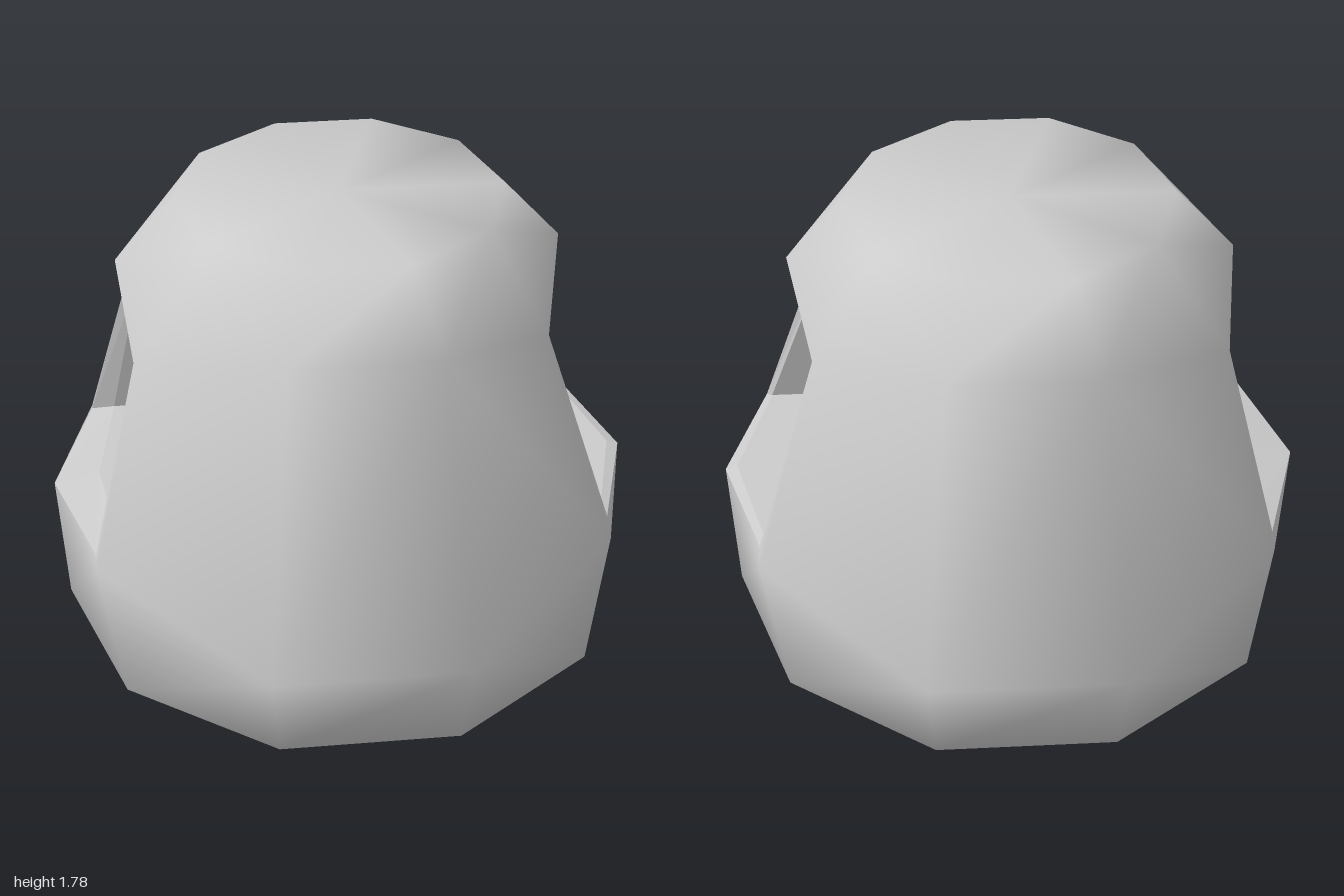
import * as THREE from 'three';

const grey = (side = THREE.FrontSide, flatShading = false) =>
  new THREE.MeshStandardMaterial({ color: 0xcccccc, side, flatShading });

function indexed(points, faces) {
  const g = new THREE.BufferGeometry();
  g.setAttribute('position', new THREE.Float32BufferAttribute(points.flat(), 3));
  g.setIndex(faces.flat());
  return g;
}

// per side: outer edge and inner rim of the window, as [x, y, z] of sill middle, sill corner, shoulder, apex
const windows = [
  { s: 1,
    edge: [[0.98, 0.735, 0], [0.85, 0.74, 0.43], [0.645, 1.375, 0.29], [0.72, 1.585, 0]],
    rim: [[0.94, 0.748, 0], [0.83, 0.748, 0.41], [0.63, 1.335, 0.28], [0.69, 1.54, 0]] },
  { s: -1,
    edge: [[0.985, 0.715, 0], [0.85, 0.725, 0.44], [0.69, 1.36, 0.29], [0.73, 1.575, 0]],
    rim: [[0.83, 0.748, 0], [0.77, 0.748, 0.41], [0.66, 1.335, 0.28], [0.69, 1.54, 0]] },
];

// quarter of a regular ten-sided ring: three corners from the x axis towards z
const regular = (r, y) => [0, 1, 2].map((k) => {
  const a = (k * Math.PI) / 5;
  return [r * Math.cos(a), y, r * Math.sin(a)];
});

// five rings from the floor up; the two in the middle follow the window edges
const quarters = ([mid, , shoulder, apex]) => [
  regular(0.618, 0),
  regular(0.96, 0.25),
  [mid, [0.85, 0.7, 0.5], [0.32, 0.59, 1]],
  [apex, shoulder, [0.24, 1.59, 0.75]],
  regular(0.535, 1.785),
];

// full ring of ten corners, counted from +x towards +z
function fullRing(r, l) {
  const at = ([x, y, z], sx, sz) => [x * sx, y, z * sz];
  return [at(r[0], 1, 1), at(r[1], 1, 1), at(r[2], 1, 1), at(l[2], -1, 1), at(l[1], -1, 1),
    at(l[0], -1, 1), at(l[1], -1, -1), at(l[2], -1, -1), at(r[2], 1, -1), at(r[1], 1, -1)];
}

// smooth outer wall with both window openings left free
function shellGeometry() {
  const n = 10;
  const right = quarters(windows[0].edge), left = quarters(windows[1].edge);
  const pts = right.flatMap((r, k) => fullRing(r, left[k]));
  const faces = [];
  const id = (r, i) => r * n + ((i + n) % n);
  const v = (i) => new THREE.Vector3(...pts[i]);

  for (let r = 0; r < 4; r++) {
    for (let i = 0; i < n; i++) {
      if (r === 2 && [9, 0, 4, 5].includes(i)) continue;
      const a = id(r, i), b = id(r, i + 1), c = id(r + 1, i + 1), d = id(r + 1, i);
      // fold each four-sided face outwards
      const normal = v(d).sub(v(a)).cross(v(b).sub(v(a)));
      if (normal.dot(v(c).sub(v(a))) <= 0) faces.push([a, d, b], [b, d, c]);
      else faces.push([a, d, c], [a, c, b]);
    }
  }
  // bottom and top
  const bottom = pts.push([0, 0, 0]) - 1;
  const top = pts.push([0, 1.785, 0]) - 1;
  for (let i = 0; i < n; i++) {
    faces.push([bottom, id(0, i), id(0, i + 1)], [top, id(4, i + 1), id(4, i)]);
  }
  // wall beside each window, out to the sill corners
  for (const { s, edge } of windows) {
    const mid = s > 0 ? 0 : 5;
    const [x, y, z] = edge[1];
    for (const k of [1, -1]) {
      const corner = pts.push([x * s, y, z * k]) - 1;
      const wall = id(2, mid + k * s), shoulder = id(3, mid + k * s);
      const tris = [[id(2, mid), corner, wall], [wall, corner, shoulder]];
      for (const t of tris) faces.push(s * k > 0 ? t : t.reverse());
    }
  }
  const g = indexed(pts, faces);
  g.computeVertexNormals();
  return g;
}

// full loop around an opening from its half profile
function loop([m, c, w, p], s) {
  const at = ([x, y, z], k) => [x * s, y, z * k];
  return [at(c, -1), at(m, 1), at(c, 1), at(w, 1), at(p, 1), at(w, -1)];
}

// bevelled window frames joined by a straight passage
function passageGeometry() {
  const [r, l] = windows;
  const loops = [loop(r.edge, 1), loop(r.rim, 1), loop(l.rim, -1), loop(l.edge, -1)];
  const faces = [];
  for (let k = 0; k < 3; k++) {
    for (let i = 0; i < 6; i++) {
      const j = (i + 1) % 6;
      const a = k * 6 + i, b = k * 6 + j, c = b + 6, d = a + 6;
      faces.push([a, d, c], [a, c, b]);
    }
  }
  const g = indexed(loops.flat(), faces).toNonIndexed();
  g.computeVertexNormals();
  return g;
}

const lathe = (profile, sides) =>
  new THREE.LatheGeometry(profile.map(([x, y]) => new THREE.Vector2(x, y)), sides);

export function createModel() {
  const model = new THREE.Group();
  const add = (name, geometry, material, parent = model) => {
    const mesh = new THREE.Mesh(geometry, material);
    mesh.name = name;
    parent.add(mesh);
    return mesh;
  };

  add('lanternShell', shellGeometry(), grey());
  add('windowPassage', passageGeometry(), grey(THREE.DoubleSide, true));

  // small candle standing on the passage floor
  const candle = new THREE.Group();
  candle.name = 'candle';
  candle.position.y = 0.748;
  model.add(candle);
  add('candleCup', lathe([[0.295, 0], [0.295, 0.055], [0.305, 0.058], [0.305, 0.066],
    [0.285, 0.066], [0.28, 0.045]], 32), grey(THREE.DoubleSide), candle);
  const wax = add('candleWax', new THREE.CircleGeometry(0.285, 32), grey(), candle);
  wax.rotation.x = -Math.PI / 2;
  wax.position.y = 0.05;
  add('wick', lathe([[0.013, 0.05], [0.013, 0.11], [0.017, 0.16], [0.013, 0.19], [0, 0.218]], 10),
    grey(THREE.DoubleSide), candle);

  return model;
}
